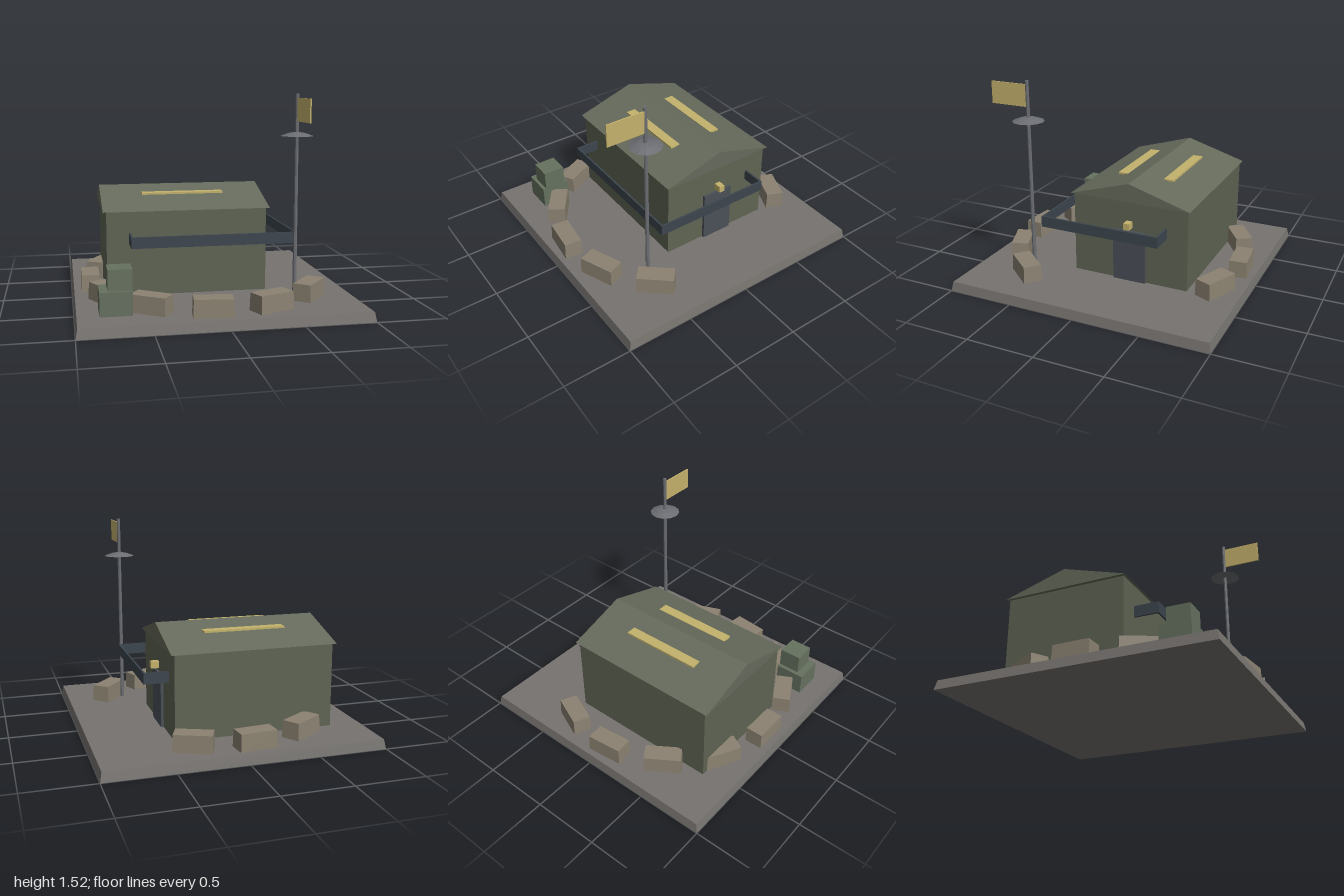
import * as THREE from 'three';

const mat = (color) => new THREE.MeshStandardMaterial({ color, flatShading: true });
const stone = mat(0x76736f), wall = mat(0x5f6453), roofGreen = mat(0x666b5c), tan = mat(0x8b8271);
const yellow = mat(0xc4b26c), navy = mat(0x3c454e), doorGrey = mat(0x4a4f57), metal = mat(0x6c6e73), crateGreen = mat(0x66715f);

function add(parent, name, geometry, material, x = 0, y = 0, z = 0) {
  const mesh = new THREE.Mesh(geometry, material);
  mesh.name = name;
  mesh.position.set(x, y, z);
  parent.add(mesh);
  return mesh;
}

const box = (w, h, d) => new THREE.BoxGeometry(w, h, d);

// Box whose top face is drawn in by a small inset
function taperedBox(w, h, d, inset) {
  const g = box(w, h, d), p = g.attributes.position;
  for (let i = 0; i < p.count; i++) {
    if (p.getY(i) > 0) {
      p.setX(i, p.getX(i) - Math.sign(p.getX(i)) * inset);
      p.setZ(i, p.getZ(i) - Math.sign(p.getZ(i)) * inset);
    }
  }
  g.computeVertexNormals();
  return g;
}

export function createModel() {
  const model = new THREE.Group();
  model.name = 'outpost';
  const ground = 0.07;

  add(model, 'basePlate', taperedBox(2, ground, 2, 0.013), stone, 0, ground / 2, 0);

  // Hut with a gable roof whose ridge runs along x
  const hut = new THREE.Group();
  hut.name = 'hut';
  hut.position.set(-0.17, 0, -0.168);
  model.add(hut);
  add(hut, 'walls', box(1.17, 0.62, 0.89), wall, 0, 0.38, 0);
  const gable = new THREE.Shape([[-0.464, 0], [0.464, 0], [0, 0.14]].map(([x, y]) => new THREE.Vector2(x, y)));
  const roof = new THREE.ExtrudeGeometry(gable, { depth: 1.22, bevelEnabled: false });
  roof.translate(0, 0, -0.61).rotateY(Math.PI / 2);
  add(hut, 'roof', roof, roofGreen, 0, 0.685, 0);
  for (const s of [-1, 1]) add(hut, 'roofStrip', box(0.61, 0.014, 0.077), yellow, 0, 0.777, s * 0.182);
  add(hut, 'door', box(0.04, 0.39, 0.25), doorGrey, 0.585, ground + 0.195, 0);
  add(hut, 'doorLamp', box(0.06, 0.05, 0.045), yellow, 0.62, 0.512, 0);

  // Rail band running around the yard and into the hut
  const rail = new THREE.Group();
  rail.name = 'rail';
  model.add(rail);
  for (const s of [-1, 1]) {
    add(rail, 'railLong', box(1.19, 0.08, 0.014), navy, 0, 0.49, s * 0.45);
    add(rail, 'railShort', box(0.014, 0.08, 0.914), navy, s * 0.588, 0.49, 0);
  }

  // Ring of sandbags, open on the right-hand side
  const bags = new THREE.Group();
  bags.name = 'sandbags';
  model.add(bags);
  for (let i = 0; i < 10; i++) {
    const a = 0.7 + i * 0.49;
    const bag = add(bags, 'sandbag', taperedBox(0.138, 0.125, 0.274, 0.004), tan,
      Math.cos(a) * 0.866, ground + 0.0625, Math.sin(a) * 0.866);
    bag.rotation.y = -a;
  }

  // Stacked crates
  add(model, 'lowerCrate', box(0.22, 0.165, 0.22), crateGreen, -0.727, 0.1525, 0.665);
  add(model, 'upperCrate', box(0.165, 0.145, 0.165), crateGreen, -0.698, 0.3075, 0.668);

  // Mast with dish and flag
  const mast = new THREE.Group();
  mast.name = 'mast';
  mast.position.set(0.555, 0, 0.555);
  model.add(mast);
  add(mast, 'pole', new THREE.CylinderGeometry(0.013, 0.015, 1.45, 8), metal, 0, 0.795, 0);
  const profile = [[0, 0], [0.115, 0], [0.06, 0.02], [0, 0.03]].map(([r, y]) => new THREE.Vector2(r, y));
  add(mast, 'dish', new THREE.LatheGeometry(profile, 12), metal, 0, 1.228, 0);
  add(mast, 'flag', box(0.01, 0.162, 0.28), yellow, 0.002, 1.41, 0.15);

  return model;
}
